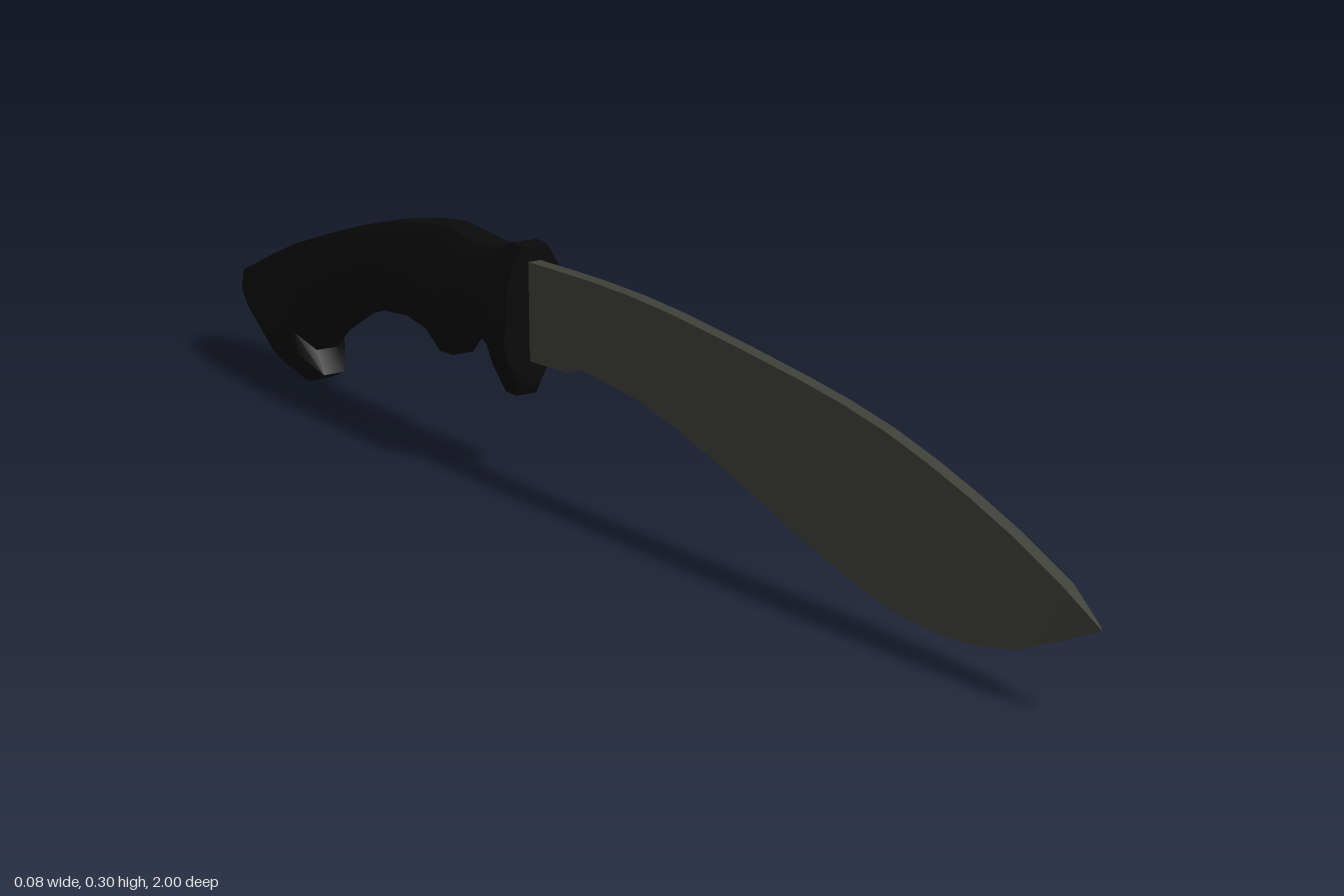
import * as THREE from 'three';
import { toCreasedNormals } from 'three/addons/utils/BufferGeometryUtils.js';

// Skins a run of closed rings (counter-clockwise seen from +z, running towards -z) and caps both ends
function loft(rings, crease) {
  const n = rings[0].length;
  const points = rings.flat();
  const index = [];
  for (let i = 0; i < rings.length - 1; i++) {
    for (let j = 0; j < n; j++) {
      const a = i * n + j, b = i * n + (j + 1) % n;
      index.push(a, a + n, b + n, a, b + n, b);
    }
  }
  const last = (rings.length - 1) * n;
  for (let j = 1; j < n - 1; j++) {
    index.push(0, j, j + 1);
    index.push(last, last + j + 1, last + j);
  }
  const geometry = new THREE.BufferGeometry().setFromPoints(points);
  geometry.setIndex(index);
  return toCreasedNormals(geometry, crease);
}

// Mirrored ring between a bottom and a top point; profile holds [half width, height fraction]
function ring(top, bottom, profile, widthScale = 1) {
  const side = (sign) => ([w, t]) => new THREE.Vector3(
    sign * w * widthScale,
    THREE.MathUtils.lerp(bottom[1], top[1], t),
    THREE.MathUtils.lerp(bottom[0], top[0], t));
  return [...profile.map(side(1)), ...profile.map(side(-1)).reverse()];
}

export function createModel() {
  const model = new THREE.Group();
  model.name = 'machete';

  const steel = new THREE.MeshStandardMaterial({ color: 0x40403a });
  steel.name = 'dark steel';
  const rubber = new THREE.MeshStandardMaterial({ color: 0x0b0b0b });
  rubber.name = 'black rubber';

  // Blade: wedge section, thick at the spine; stations are z, spine y, edge y
  const bladeStations = [
    [1, 0.124, 0.12], [0.92, 0.163, 0.09], [0.8, 0.2, 0.047], [0.7, 0.225, 0.029],
    [0.6, 0.246, 0.022], [0.5, 0.263, 0.027], [0.4, 0.274, 0.044], [0.3, 0.281, 0.067],
    [0.15, 0.288, 0.106], [0, 0.293, 0.141], [-0.1, 0.293, 0.157], [-0.2, 0.289, 0.163],
    [-0.23, 0.287, 0.163], [-0.26, 0.285, 0.152], [-0.37, 0.277, 0.144],
  ];
  const wedge = [[0.001, 0], [0.009, 1]];
  const bladeRings = bladeStations.map(([z, top, bottom], i) =>
    ring([z, top], [z, bottom], wedge, i === 0 ? 0.15 : 1));
  const blade = new THREE.Mesh(loft(bladeRings, 0.5), steel);
  blade.name = 'blade';
  model.add(blade);

  // Handle: chamfered section following a curved grip; stations are top z, y, bottom z, y
  const handleStations = [
    [-0.34, 0.3, -0.352, 0.115], [-0.365, 0.3, -0.36, 0.1], [-0.38, 0.293, -0.385, 0.1],
    [-0.4, 0.285, -0.405, 0.14], [-0.44, 0.28, -0.44, 0.155], [-0.48, 0.282, -0.48, 0.15],
    [-0.525, 0.283, -0.51, 0.117], [-0.56, 0.278, -0.54, 0.115], [-0.6, 0.27, -0.56, 0.135],
    [-0.66, 0.255, -0.62, 0.142], [-0.73, 0.233, -0.68, 0.135], [-0.81, 0.202, -0.745, 0.11],
    [-0.88, 0.173, -0.8, 0.075], [-0.93, 0.148, -0.832, 0.045], [-0.96, 0.132, -0.815, 0.016],
    [-1, 0.11, -0.85, 0],
  ];
  const grip = [[0.015, 0], [0.035, 0.2], [0.04, 0.3], [0.04, 0.7], [0.035, 0.85], [0.018, 1]];
  const handleRings = handleStations.map(([tz, ty, bz, by]) => ring([tz, ty], [bz, by], grip));
  const handle = new THREE.Mesh(loft(handleRings, 0.6), rubber);
  handle.name = 'handle';
  model.add(handle);

  return model;
}
